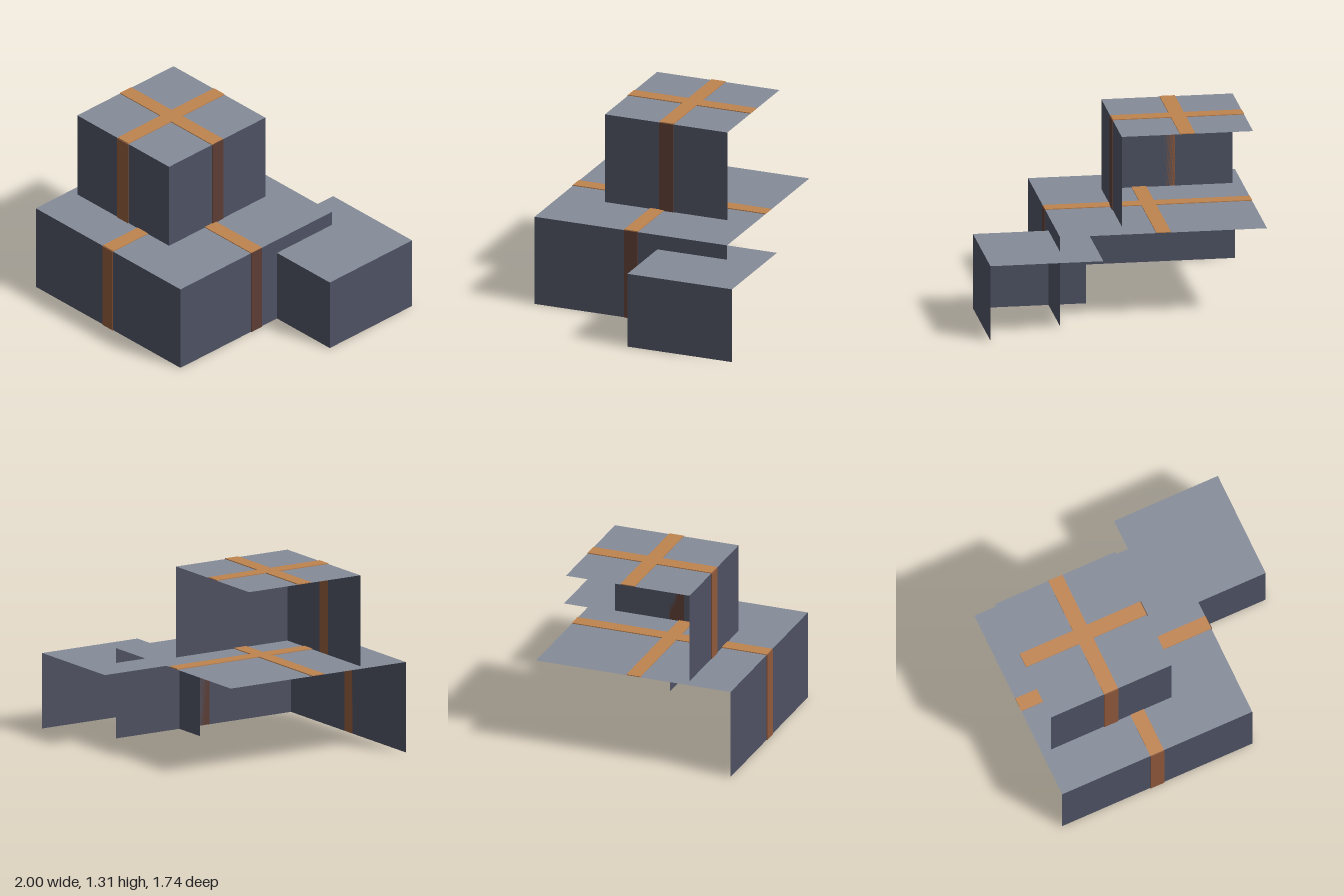
import * as THREE from 'three';

const mat = (name, color) => {
  const m = new THREE.MeshStandardMaterial({ color, side: THREE.DoubleSide });
  m.name = name;
  return m;
};

export function createModel() {
  const boxTop = mat('light grey paper', 0x848b98);
  const boxSide = mat('dark slate paper', 0x4e5162);
  const ribbonTop = mat('light copper ribbon', 0xbf834f);
  const ribbonFront = mat('copper ribbon', 0x8f593b);
  const ribbonSide = mat('dark brown ribbon', 0x5c3d34);
  const T = 0.006; // ribbon thickness

  const add = (group, name, geometry, material, x, y, z) => {
    const mesh = new THREE.Mesh(geometry, material);
    mesh.name = name;
    mesh.position.set(x, y, z);
    group.add(mesh);
  };

  // Open parcel shell: top, front and right-hand panel only
  // x, y and z are [min, max]; ribbon gives the strip centres and width
  function parcel(name, x, y, z, ribbon) {
    const g = new THREE.Group();
    g.name = name;
    const [w, h, d] = [x, y, z].map(([a, b]) => b - a);
    const [cx, cy, cz] = [x, y, z].map(([a, b]) => (a + b) / 2);
    add(g, 'topPanel', new THREE.PlaneGeometry(w, d).rotateX(-Math.PI / 2), boxTop, cx, y[1], cz);
    add(g, 'frontPanel', new THREE.PlaneGeometry(w, h), boxSide, cx, cy, z[1]);
    add(g, 'sidePanel', new THREE.PlaneGeometry(d, h).rotateY(Math.PI / 2), boxSide, x[1], cy, cz);

    if (ribbon) {
      const { rx, rz, width } = ribbon;
      // Lengthwise strip, and the crossing strip in two halves beside it
      add(g, 'topRibbonLong', new THREE.BoxGeometry(width, T, d), ribbonTop, rx, y[1] + T / 2, cz);
      for (const [a, b] of [[x[0], rx - width / 2], [rx + width / 2, x[1]]]) {
        add(g, 'topRibbonCross', new THREE.BoxGeometry(b - a, T, width), ribbonTop, (a + b) / 2, y[1] + T / 2, rz);
      }
      // Strips hanging down the front and the side
      add(g, 'frontRibbon', new THREE.BoxGeometry(width, h, T), ribbonFront, rx, cy, z[1] + T / 2);
      add(g, 'sideRibbon', new THREE.BoxGeometry(T, h, width), ribbonSide, x[1] + T / 2, cy, rz);
    }
    return g;
  }

  const model = new THREE.Group();
  model.name = 'parcelStack';
  model.add(
    parcel('largeParcel', [-1, 0.465], [0, 0.65], [-0.604, 0.861], { rx: -0.268, rz: 0.128, width: 0.104 }),
    parcel('upperParcel', [-0.932, -0.002], [0.65, 1.304], [-0.406, 0.525], { rx: -0.468, rz: 0.058, width: 0.108 }),
    parcel('smallParcel', [0.2, 1], [0, 0.543], [-0.87, -0.073]),
  );
  return model;
}
